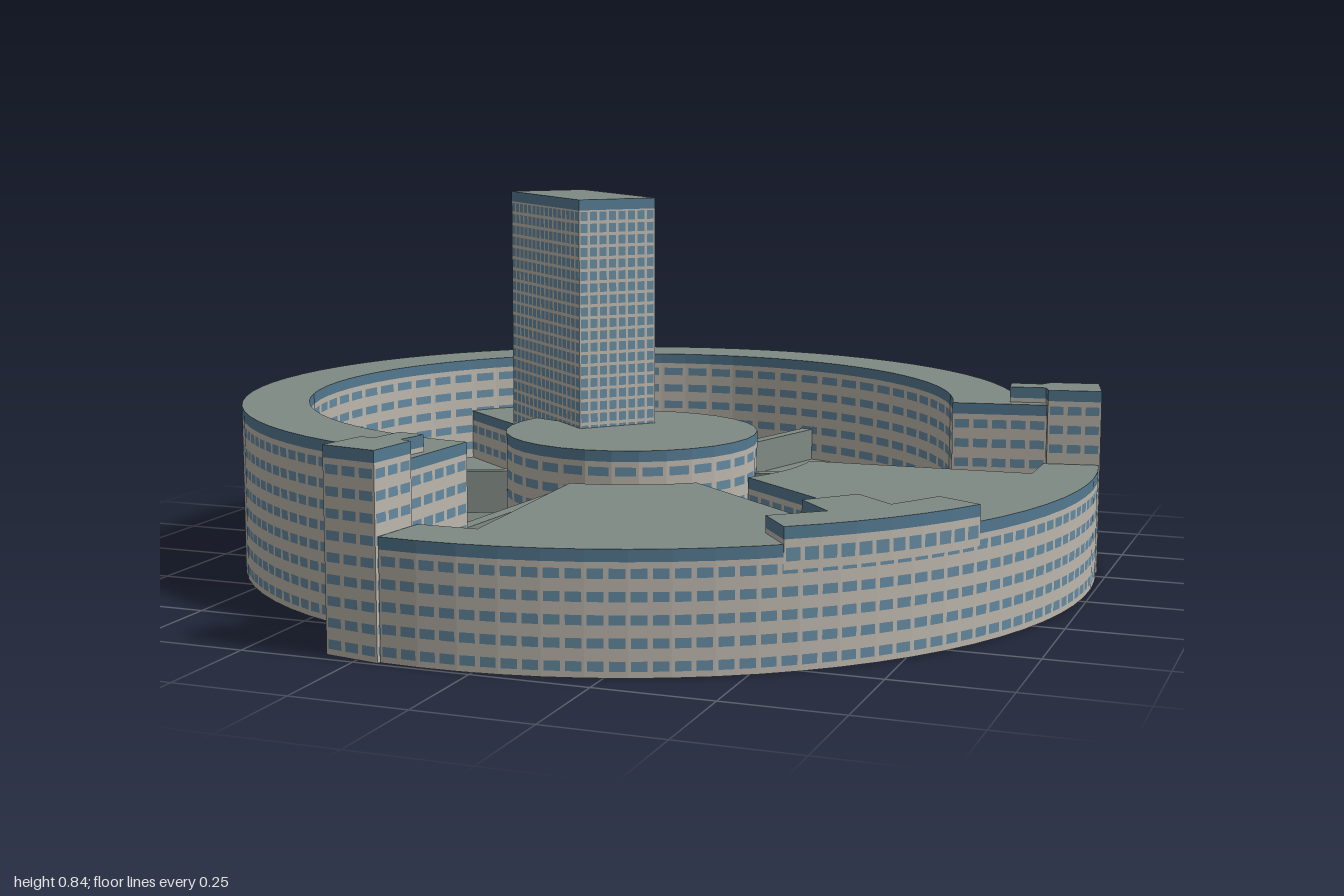
import * as THREE from 'three';

const mat = (name, color) => {
  const m = new THREE.MeshStandardMaterial({ color, side: THREE.DoubleSide });
  m.name = name;
  return m;
};

// Common centre of all the circular wings
const C = -0.095;
const polar = (r, deg) => {
  const a = THREE.MathUtils.degToRad(deg);
  return [C + r * Math.cos(a), C + r * Math.sin(a)];
};
function arc(r, from, to, step = 5) {
  const n = Math.max(1, Math.round(Math.abs(to - from) / step));
  return Array.from({ length: n + 1 }, (_, i) => polar(r, from + (to - from) * i / n));
}

export function createModel() {
  const model = new THREE.Group();
  model.name = 'roundOfficeComplex';
  const wallMat = mat('stoneWall', 0xbcb6ac);
  const glassMat = mat('blueGlass', 0x64899f);
  const bandMat = mat('darkGlassBand', 0x53788f);
  const roofMat = mat('greyGreenRoof', 0x7f8a83);

  function quad(list, a, b, y0, y1) {
    list.push(a[0], y0, a[1], b[0], y0, b[1], b[0], y1, b[1],
      a[0], y0, a[1], b[0], y1, b[1], a[0], y1, a[1]);
  }
  function addMesh(group, name, list, material) {
    if (!list.length) return;
    const g = new THREE.BufferGeometry();
    g.setAttribute('position', new THREE.Float32BufferAttribute(list, 3));
    g.computeVertexNormals();
    const mesh = new THREE.Mesh(g, material);
    mesh.name = name;
    group.add(mesh);
  }

  // Hollow block: flat roof over an outline of [x, z] points, walls with window rows
  function block(name, outline, y0, y1, opt = {}) {
    const { floor = 0.0425, bay = 0.045, band = 0.025, wide = 0.76, tall = 0.44, plain = false } = opt;
    const group = new THREE.Group();
    group.name = name;
    const pts = outline.map(p => new THREE.Vector2(p[0], -p[1]));
    const roofGeo = new THREE.ShapeGeometry(new THREE.Shape(pts));
    roofGeo.rotateX(-Math.PI / 2);
    roofGeo.translate(0, y1, 0);
    const roof = new THREE.Mesh(roofGeo, roofMat);
    roof.name = 'roof';
    group.add(roof);

    const ring = THREE.ShapeUtils.isClockWise(pts) ? outline.slice().reverse() : outline;
    const walls = [], windows = [], bands = [];
    const top = y1 - (plain ? 0 : band);
    const rows = plain ? 0 : Math.floor((top - y0) / floor + 0.2);
    const rowH = rows ? (top - y0) / rows : 0;
    ring.forEach((a, i) => {
      const b = ring[(i + 1) % ring.length];
      const at = t => [a[0] + (b[0] - a[0]) * t, a[1] + (b[1] - a[1]) * t];
      const len = Math.hypot(b[0] - a[0], b[1] - a[1]);
      if (len < 1e-4) return;
      if (!plain) quad(bands, a, b, top, y1);
      if (!rows) {
        if (top > y0) quad(walls, a, b, y0, top);
        return;
      }
      const bays = Math.max(1, Math.round(len / bay));
      for (let r = 0; r < rows; r++) {
        const lo = y0 + r * rowH, hi = lo + rowH;
        const w0 = lo + rowH * (1 - tall) / 2, w1 = hi - rowH * (1 - tall) / 2;
        quad(walls, a, b, lo, w0);
        quad(walls, a, b, w1, hi);
        for (let k = 0; k < bays; k++) {
          const m = (1 - wide) / 2;
          const p0 = at(k / bays), p1 = at((k + m) / bays);
          const p2 = at((k + 1 - m) / bays), p3 = at((k + 1) / bays);
          quad(walls, p0, p1, w0, w1);
          quad(windows, p1, p2, w0, w1);
          quad(walls, p2, p3, w0, w1);
        }
      }
    });
    addMesh(group, 'walls', walls, plain ? roofMat : wallMat);
    addMesh(group, 'windows', windows, glassMat);
    addMesh(group, 'topBand', bands, bandMat);
    model.add(group);
  }

  // Tall curved wing, with shoulders beside the end towers
  block('tallRingWing', [
    ...arc(0.905, 102.4, 341.8), [0.84, -0.395], [0.855, -0.27],
    ...arc(0.752, 349.4, 95.4), [-0.185, 0.87], [-0.30, 0.855],
  ], 0, 0.385);

  // Stair towers at both ends of the tall wing
  block('frontEndTower', [
    [-0.302, 0.855], [-0.27, 0.86], [-0.255, 0.78], [-0.195, 0.79],
    [-0.21, 0.86], [-0.183, 0.87], [-0.2, 0.992], [-0.325, 0.968],
  ], 0, 0.42);
  block('sideEndTower', [
    [0.84, -0.397], [0.825, -0.365], [0.755, -0.355], [0.765, -0.29],
    [0.845, -0.305], [0.857, -0.268], [0.975, -0.29], [0.947, -0.415],
  ], 0, 0.42);

  // Low roofed court between the tall wing and the hub
  block('lowCourt', [...arc(0.756, 95.6, 349.2), ...arc(0.435, 349.2, 95.6)], 0, 0.125, { plain: true });

  // Broad fan-shaped wing with a sunken passage
  block('fanWing', [
    ...arc(1.085, -10.3, 95.4, 4.4), [-0.18, 0.85], [-0.05, 0.85],
    ...arc(0.435, 86.7, 49.6), [0.51, 0.51], [0.6, 0.41],
    ...arc(0.435, 32.3, -2), [0.85, -0.135], [0.85, -0.27],
  ], 0, 0.25);
  block('sunkenPassage', [polar(0.437, 49.5), [0.509, 0.509], [0.599, 0.411], polar(0.437, 32.4)],
    0, 0.2, { plain: true });
  block('fanRoofHouse', [
    ...arc(1.086, 28.8, 53.2, 4.4), [0.49, 0.685], [0.59, 0.6],
    [0.51, 0.51], [0.6, 0.41], [0.69, 0.49], [0.76, 0.375],
  ], 0.2, 0.285);

  // Central hub, cut where the tower stands
  block('centralHub', [
    ...arc(0.297, -114, 197, 12), [-0.31, -0.155], [-0.215, -0.07], [-0.085, -0.21], [-0.165, -0.29],
  ], 0, 0.3);

  // High slab tower and its link to the ring
  block('slabTower', [[-0.08, -0.21], [-0.215, -0.065], [-0.52, -0.355], [-0.385, -0.495]],
    0, 0.842, { floor: 0.028, bay: 0.026, wide: 0.74, tall: 0.74 });
  block('towerLink', [[-0.52, -0.355], [-0.385, -0.495], [-0.592, -0.662], [-0.722, -0.527]], 0, 0.25);

  // Covered bridges radiating from the hub: angle and sideways shift
  [[-73.3, 0], [157.4, 0], [-10.6, -0.016], [95.4, 0.016]].forEach(([deg, shift], i) => {
    const g = new THREE.BoxGeometry(0.47, 0.1, 0.03);
    g.translate(0.525, 0.155, shift);
    const bridge = new THREE.Mesh(g, roofMat);
    bridge.name = 'bridge' + (i + 1);
    bridge.position.set(C, 0, C);
    bridge.rotation.y = -THREE.MathUtils.degToRad(deg);
    model.add(bridge);
  });

  return model;
}
